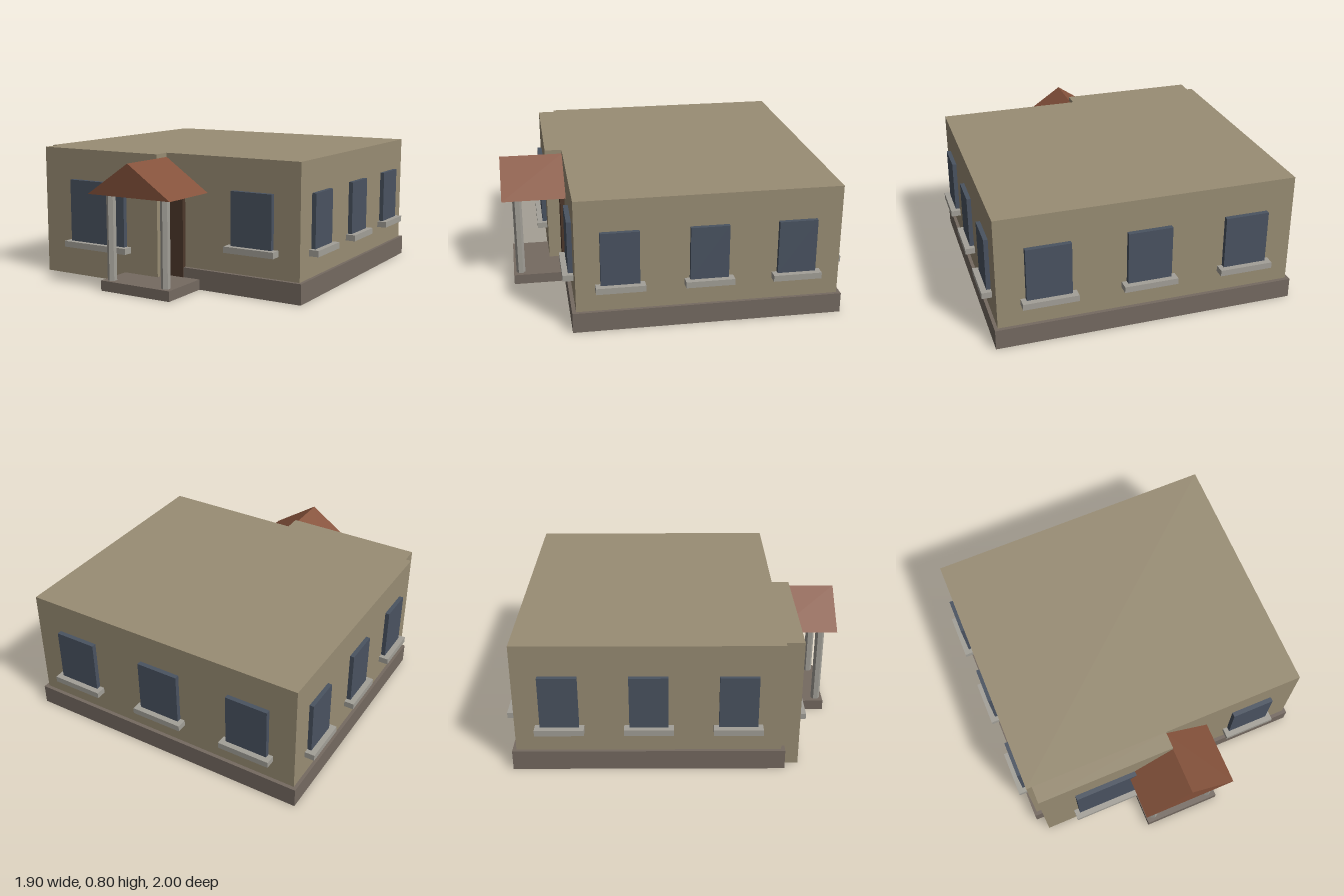
import * as THREE from 'three';

const mat = (name, color) => {
  const m = new THREE.MeshStandardMaterial({ color });
  m.name = name;
  return m;
};

export function createModel() {
  const wall = mat('sandWall', 0x998d74);
  const stone = mat('foundationStone', 0x756a61);
  const glass = mat('windowGlass', 0x4a5361);
  const sill = mat('paleStone', 0xa3a098);
  const tile = mat('roofTile', 0x85523b);
  const wood = mat('doorWood', 0x4d382b);

  const house = new THREE.Group();
  house.name = 'house';

  // Box given by its minimum and maximum corners
  const box = (name, material, [x0, y0, z0], [x1, y1, z1], parent = house) => {
    const mesh = new THREE.Mesh(new THREE.BoxGeometry(x1 - x0, y1 - y0, z1 - z0), material);
    mesh.position.set((x0 + x1) / 2, (y0 + y1) / 2, (z0 + z1) / 2);
    mesh.name = name;
    parent.add(mesh);
    return mesh;
  };

  // Foundation, main block and the front bay
  box('foundation', stone, [-0.91, 0, -0.96], [0.91, 0.122, 0.633]);
  box('mainWalls', wall, [-0.89, 0.122, -0.937], [0.89, 0.8, 0.61]);
  box('frontBay', wall, [-0.855, 0.002, 0.61], [0, 0.8, 0.716]);

  // Window facing local +z, with a projecting sill; y is the bottom of the glass
  const addWindow = (x, y, z, width, turn) => {
    const g = new THREE.Group();
    g.name = 'window';
    const w = width / 2, s = w + 0.03;
    box('glass', glass, [-w, y, -0.02], [w, 0.61, 0.029], g);
    box('sill', sill, [-s, y - 0.037, -0.02], [s, y, 0.063], g);
    g.position.set(x, 0, z);
    g.rotation.y = turn;
    house.add(g);
  };
  for (const z of [0.355, -0.16, -0.675]) {
    for (const side of [1, -1]) addWindow(side * 0.887, 0.29, z, 0.225, side * Math.PI / 2);
  }
  for (const x of [-0.592, 0, 0.592]) addWindow(x, 0.29, -0.937, 0.264, Math.PI);
  addWindow(0.592, 0.29, 0.61, 0.264, 0);
  addWindow(-0.43, 0.224, 0.716, 0.41, 0);

  // Door beside the bay
  box('door', wood, [-0.13, 0.06, 0.6], [0.13, 0.585, 0.638]);

  // Porch step and six-sided posts
  box('porchStep', stone, [-0.242, 0, 0.633], [0.242, 0.062, 0.952]);
  for (const side of [-1, 1]) {
    const post = new THREE.Mesh(new THREE.CylinderGeometry(0.028, 0.028, 0.52, 6), sill);
    post.geometry = post.geometry.toNonIndexed();
    post.geometry.computeVertexNormals();
    post.position.set(side * 0.191, 0.321, 0.908);
    post.name = 'porchPost';
    house.add(post);
  }

  // Gabled porch roof
  const gable = new THREE.Shape([
    new THREE.Vector2(-0.287, 0.581),
    new THREE.Vector2(0.287, 0.581),
    new THREE.Vector2(0, 0.775),
  ]);
  const roof = new THREE.Mesh(
    new THREE.ExtrudeGeometry(gable, { depth: 0.39, bevelEnabled: false }), tile);
  roof.position.z = 0.61;
  roof.name = 'porchRoof';
  house.add(roof);

  return house;
}
